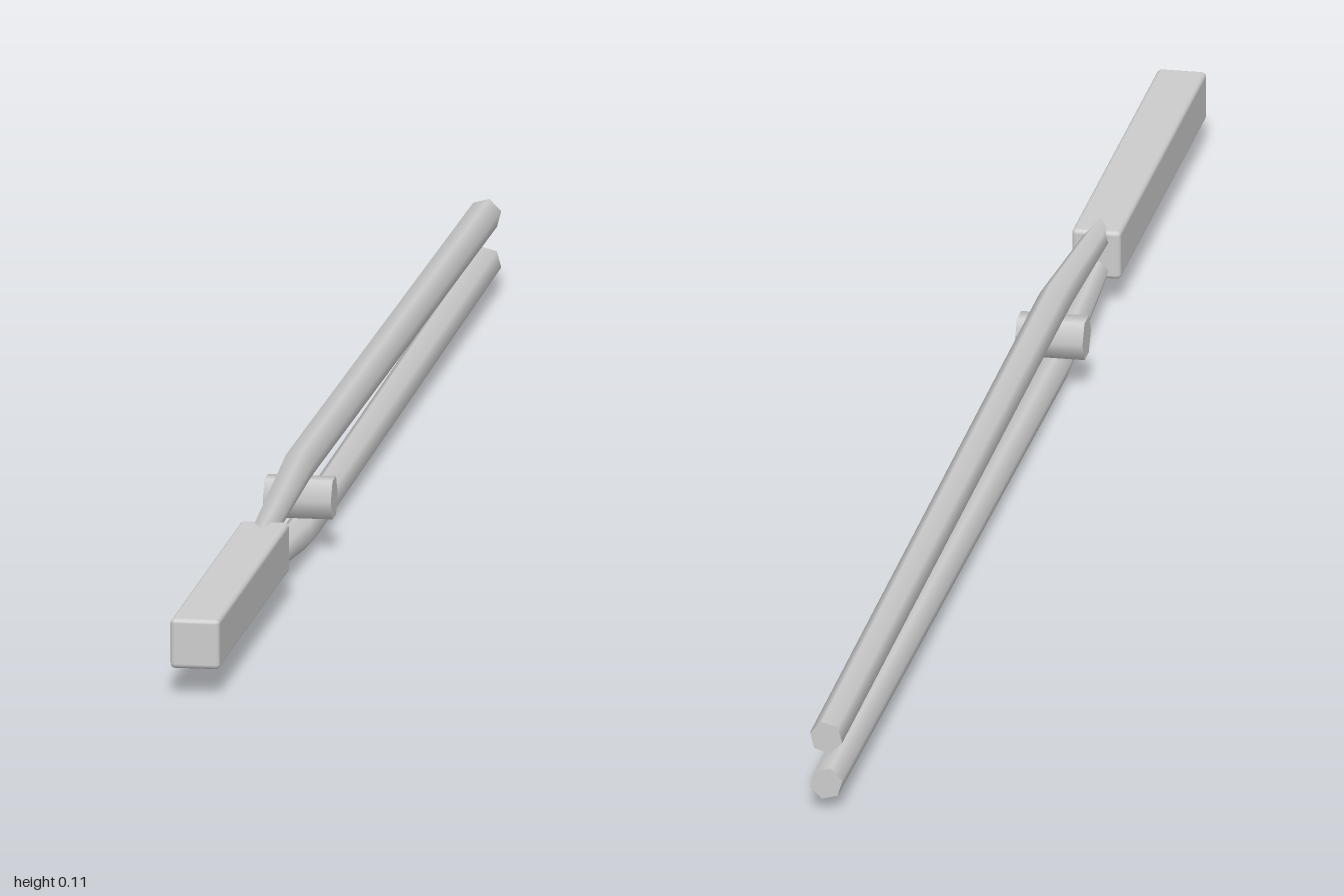
import * as THREE from 'three';
import { RoundedBoxGeometry } from 'three/addons/geometries/RoundedBoxGeometry.js';

const MID = 0.0544; // height of the centre line

// Rod rings from handle to tip: z, distance from the centre line, radius
const RINGS = [
  [0.62, 0.01, 0.012],
  [0.53, 0.018, 0.0135],
  [0.29, 0.037, 0.018],
  [0.25, 0.037, 0.018],
  [-1, 0.026, 0.018],
];

// Six-sided bent rod; side is 1 for the upper rod and -1 for the lower one
function rodGeometry(side) {
  const spans = RINGS.length - 1;
  const geo = new THREE.CylinderGeometry(1, 1, 1, 6, spans);
  geo.rotateX(Math.PI / 2);
  geo.rotateZ(side * THREE.MathUtils.degToRad(-15));
  const pos = geo.attributes.position;
  for (let i = 0; i < pos.count; i++) {
    const [z, offset, r] = RINGS[Math.round((0.5 - pos.getZ(i)) * spans)];
    pos.setXYZ(i, pos.getX(i) * r, MID + side * offset + pos.getY(i) * r, z);
  }
  return geo;
}

export function createModel() {
  const group = new THREE.Group();
  const material = new THREE.MeshStandardMaterial({ color: 0xcccccc });

  const add = (name, geometry) => {
    const mesh = new THREE.Mesh(geometry, material);
    mesh.name = name;
    group.add(mesh);
    return mesh;
  };

  // Square handle with softened edges
  const handle = add('handle', new RoundedBoxGeometry(0.053, 0.054, 0.485, 2, 0.005));
  handle.position.set(0, MID + 0.001, 0.7575);

  // Pair of spreading rods
  add('upperRod', rodGeometry(1));
  add('lowerRod', rodGeometry(-1));

  // Six-sided cross pin between the rods
  const pin = add('crossPin', new THREE.CylinderGeometry(0.024, 0.024, 0.073, 6));
  pin.rotation.z = Math.PI / 2;
  pin.position.set(0, MID + 0.001, 0.273);

  return group;
}
